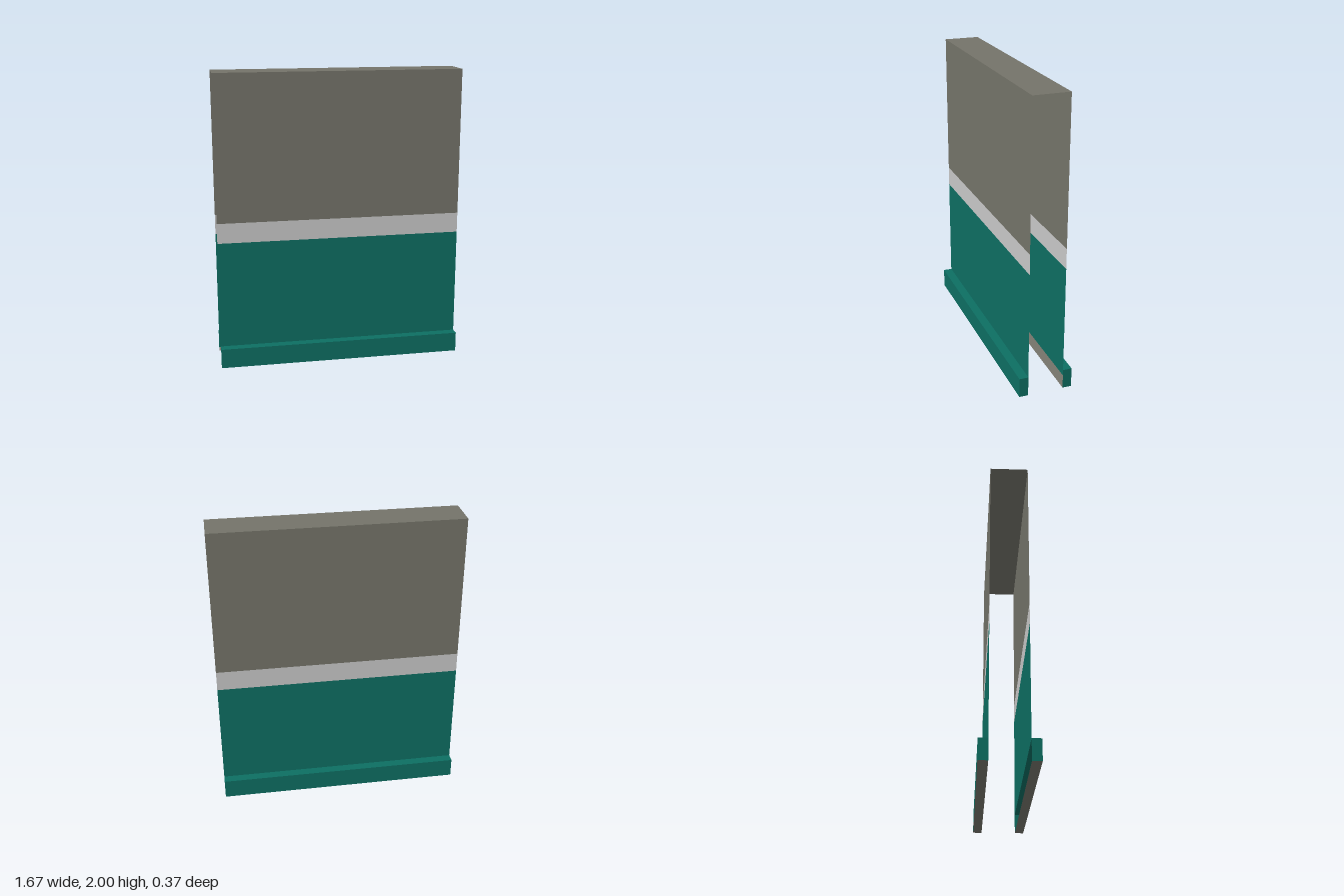
import * as THREE from 'three';

const HALF_WIDTH = 0.833;  // half the wall length
const WALL_Z = 0.122;      // wall sheet distance from the centre
const SKIRT_Z = 0.183;     // outer face of the skirting
const SKIRT_H = 0.135, STRIPE_LOW = 0.87, STRIPE_HIGH = 1.007, TOP = 2;

function flat(name, color) {
  const m = new THREE.MeshStandardMaterial({ color, side: THREE.DoubleSide });
  m.name = name;
  return m;
}

export function createModel() {
  const group = new THREE.Group();
  group.name = 'hollowWall';
  const taupe = flat('taupe', 0x747369);
  const white = flat('white', 0xc8c8c8);
  const teal = flat('teal', 0x0d6e62);

  function sheet(parent, name, material, w, h, x, y, z, rx = 0, ry = 0) {
    const mesh = new THREE.Mesh(new THREE.PlaneGeometry(w, h), material);
    mesh.name = name;
    mesh.position.set(x, y, z);
    mesh.rotation.set(rx, ry, 0);
    parent.add(mesh);
  }

  const W = HALF_WIDTH * 2;
  const bands = [
    ['lowerWall', teal, SKIRT_H, STRIPE_LOW],
    ['stripe', white, STRIPE_LOW, STRIPE_HIGH],
    ['upperWall', taupe, STRIPE_HIGH, TOP],
  ];

  // Front and back sides are the same, turned half round
  for (const side of ['front', 'back']) {
    const half = new THREE.Group();
    half.name = side + 'Side';
    if (side === 'back') half.rotation.y = Math.PI;

    // Painted wall sheet in three bands
    for (const [name, material, low, high] of bands) {
      sheet(half, name, material, W, high - low, 0, (low + high) / 2, WALL_Z);
    }

    // Skirting board, open towards the hollow
    const depth = SKIRT_Z - WALL_Z, midZ = (SKIRT_Z + WALL_Z) / 2;
    sheet(half, 'skirtingFace', teal, W, SKIRT_H, 0, SKIRT_H / 2, SKIRT_Z);
    sheet(half, 'skirtingTop', teal, W, depth, 0, SKIRT_H, midZ, -Math.PI / 2);
    sheet(half, 'skirtingBottom', taupe, W, depth, 0, 0, midZ, Math.PI / 2);
    for (const s of [-1, 1]) {
      sheet(half, 'skirtingEnd', teal, depth, SKIRT_H, s * HALF_WIDTH, SKIRT_H / 2, midZ, 0, s * Math.PI / 2);
    }
    group.add(half);
  }

  // Top cover; both ends stay open
  sheet(group, 'wallTop', taupe, W, WALL_Z * 2, 0, TOP, 0, -Math.PI / 2);
  return group;
}
